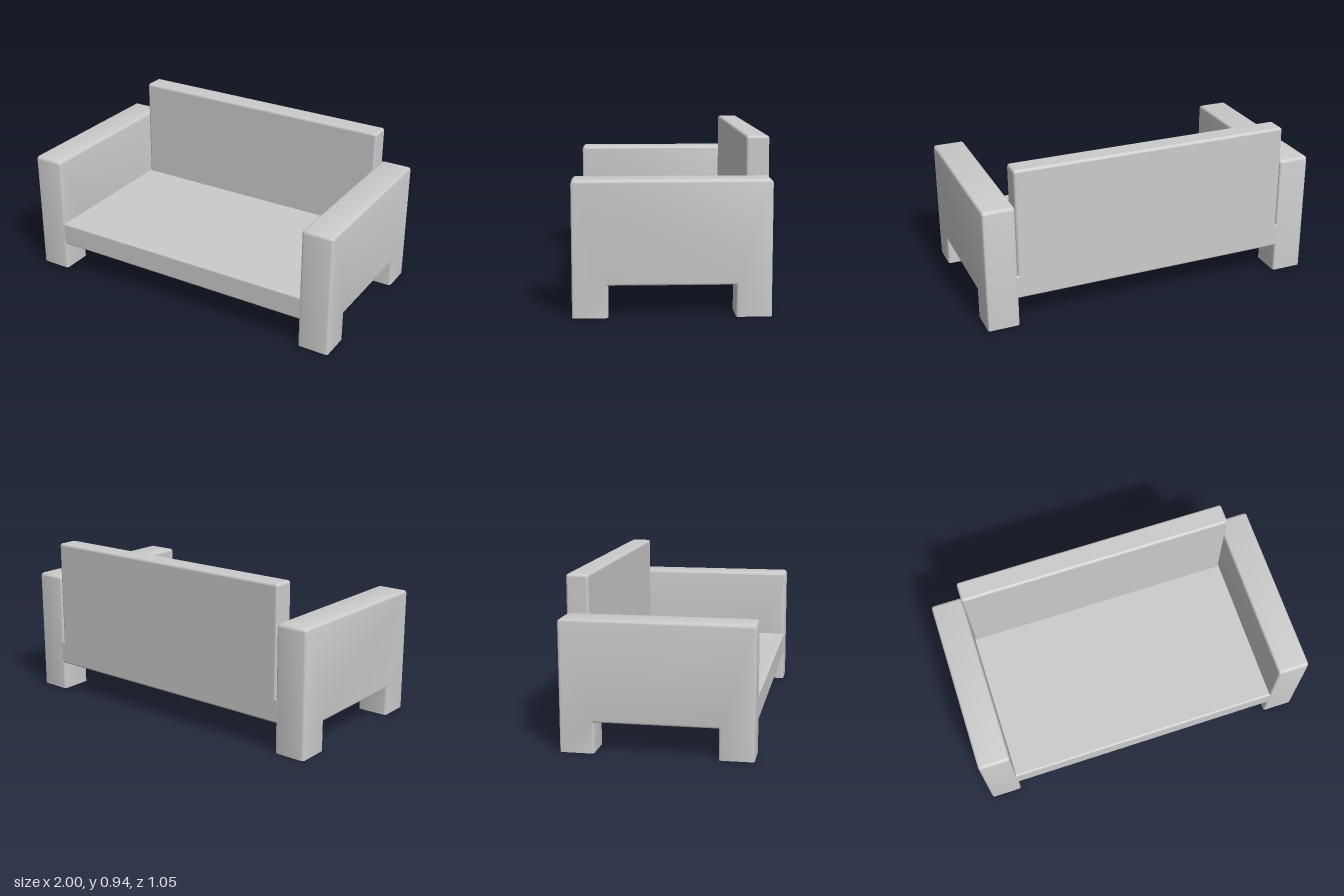
import * as THREE from 'three';
import { toCreasedNormals } from 'three/addons/utils/BufferGeometryUtils.js';
import { RoundedBoxGeometry } from 'three/addons/geometries/RoundedBoxGeometry.js';

const HALF_DEPTH = 0.525, ARM_TOP = 0.727, CLEARANCE = 0.17;
const ARM_INNER = 0.815, ARM_WIDTH = 1 - ARM_INNER, LEG_DEPTH = 0.19;

// Side panel with two legs cut from one profile; the leg ends are open at the floor.
function armGeometry() {
  const d = HALF_DEPTH, leg = d - LEG_DEPTH, r = 0.022, bevel = 0.014, below = -0.04;
  const s = new THREE.Shape();
  s.moveTo(-d, below);
  s.lineTo(-leg, below);
  s.lineTo(-leg, CLEARANCE);
  s.lineTo(leg, CLEARANCE);
  s.lineTo(leg, below);
  s.lineTo(d, below);
  s.lineTo(d, ARM_TOP - r);
  s.absarc(d - r, ARM_TOP - r, r, 0, Math.PI / 2);
  s.lineTo(-d + r, ARM_TOP);
  s.absarc(-d + r, ARM_TOP - r, r, Math.PI / 2, Math.PI);
  let geo = new THREE.ExtrudeGeometry(s, {
    depth: ARM_WIDTH - 2 * bevel, bevelThickness: bevel, bevelSize: bevel,
    bevelOffset: -bevel, bevelSegments: 3, curveSegments: 4,
  });
  geo.translate(0, 0, -(ARM_WIDTH - 2 * bevel) / 2);
  geo.rotateY(-Math.PI / 2);

  // Trim to the floor and drop the triangles lying on it.
  const p = geo.attributes.position, kept = [];
  for (let i = 0; i < p.count; i += 3) {
    const ys = [0, 1, 2].map((k) => Math.max(0, p.getY(i + k)));
    if (Math.max(...ys) < 1e-4) continue;
    ys.forEach((y, k) => kept.push(p.getX(i + k), y, p.getZ(i + k)));
  }
  geo = new THREE.BufferGeometry();
  geo.setAttribute('position', new THREE.Float32BufferAttribute(kept, 3));
  return toCreasedNormals(geo, 0.75);
}

// Softly rounded block between two opposite corners.
function block(min, max, radius) {
  const size = max.map((v, i) => v - min[i]);
  const geo = new RoundedBoxGeometry(...size, 3, radius);
  geo.translate(...max.map((v, i) => (v + min[i]) / 2));
  return geo;
}

export function createModel() {
  const sofa = new THREE.Group();
  sofa.name = 'sofa';
  const material = new THREE.MeshStandardMaterial({ color: 0xcccccc, side: THREE.DoubleSide });
  const add = (name, geometry) => {
    const mesh = new THREE.Mesh(geometry, material);
    mesh.name = name;
    sofa.add(mesh);
    return mesh;
  };

  // Arms with legs
  const arm = armGeometry();
  add('leftArm', arm).position.x = ARM_INNER + ARM_WIDTH / 2;
  add('rightArm', arm).position.x = -ARM_INNER - ARM_WIDTH / 2;

  // Seat, its ends tucked into the arms
  add('seat', block([-0.835, CLEARANCE, -HALF_DEPTH], [0.835, 0.312, HALF_DEPTH - 0.002], 0.012));

  // Backrest, rising from inside the seat
  add('backrest', block([-ARM_INNER, 0.2, -HALF_DEPTH], [ARM_INNER, 0.937, -0.4], 0.016));

  return sofa;
}
